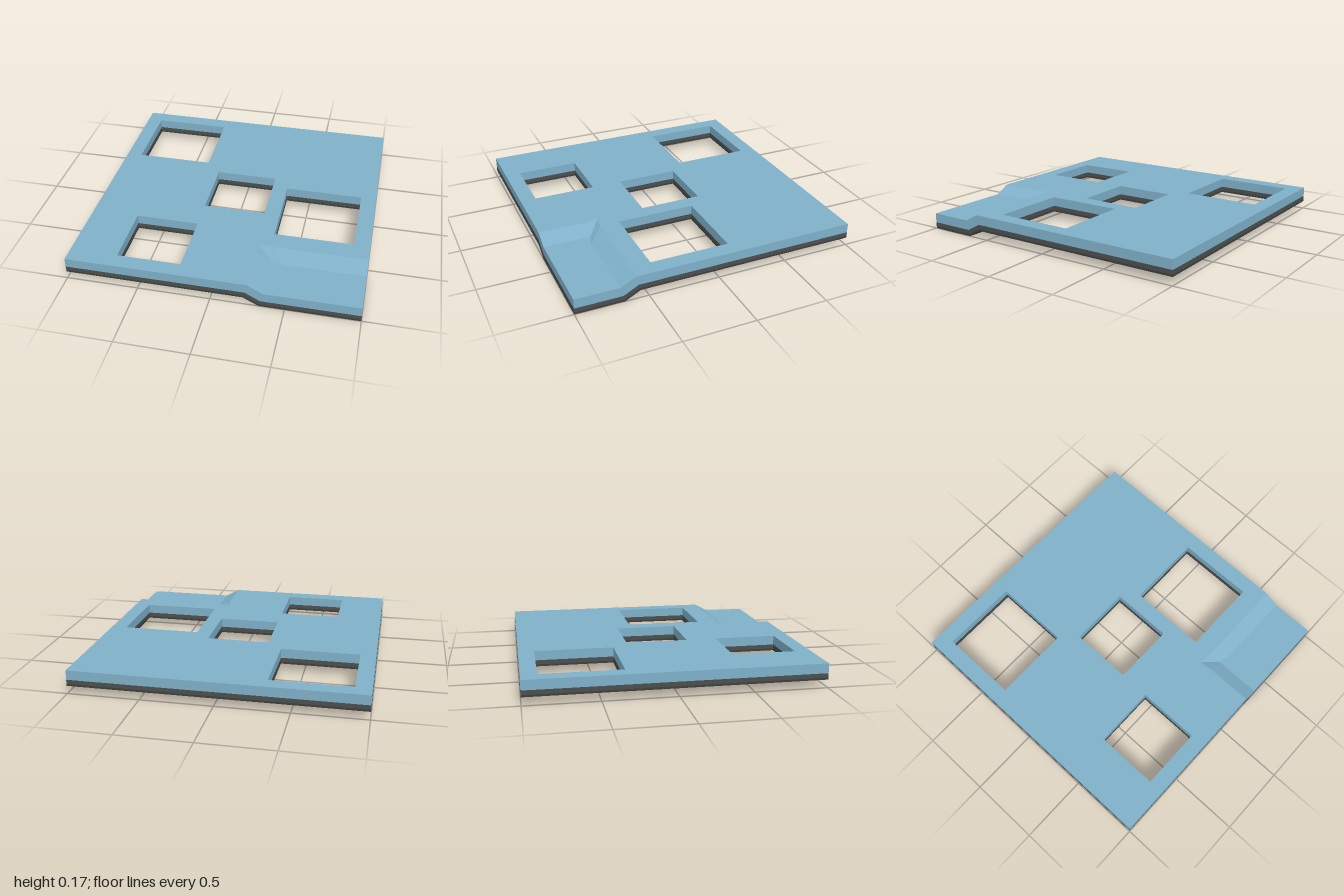
import * as THREE from 'three';

const TOP = 0.167, DROP = 0.056;

// Key points as [x, z, isLow]; ramp points slide with depth to keep the sheet thickness even.
const high = {
  front: [0.25, 1, 0], side: [0.25, 0.67, 0], corner: [0.235, 0.57, 0],
  back: [0.335, 0.585, 0], right: [1, 0.585, 0],
};
const low = {
  front: [0.355, 1, 1], corner: [0.355, 0.665, 1], back: [0.44, 0.69, 1],
  right: [1, 0.69, 1], outer: [1, 1, 1],
};
const FL = [-1, 1, 0], BL = [-1, -1, 0], BR = [1, -1, 0];

// Flat deck, ramps and the sunken corner
const deck = [FL, high.front, high.side, high.corner, high.back, high.right, BR, BL];
const patches = [
  [high.front, low.front, low.corner, high.side],
  [high.side, low.corner, high.back, high.corner],
  [high.back, low.corner, low.back],
  [high.back, low.back, low.right, high.right],
  [low.front, low.outer, low.right, low.back, low.corner],
];
const rim = [FL, high.front, low.front, low.outer, low.right, high.right, BR, BL];

// Square openings: x0, x1, z0, z1
const holes = [
  [-0.89, -0.335, -0.89, -0.335],
  [-0.223, 0.222, -0.223, 0.222],
  [0.333, 0.889, -0.115, 0.444],
  [-0.667, -0.223, 0.442, 0.889],
].map(([x0, x1, z0, z1]) => [[x1, z1, 0], [x0, z1, 0], [x0, z0, 0], [x1, z0, 0]]);

const rampPoints = new Set([...Object.values(high), ...Object.values(low)]);

// Position of a key point on the surface at depth y
function place(p, y) {
  const shift = rampPoints.has(p) ? -0.246 * (TOP - y) : 0;
  const slide = (v) => (v === 1 ? 1 : v + shift);
  return new THREE.Vector3(slide(p[0]), y - p[2] * DROP, slide(p[1]));
}

function toMesh(name, points, material) {
  const geometry = new THREE.BufferGeometry().setFromPoints(points);
  geometry.computeVertexNormals();
  const mesh = new THREE.Mesh(geometry, material);
  mesh.name = name;
  return mesh;
}

// Whole sheet surface at depth y, facing up (1) or down (-1)
function surface(name, y, facing, material) {
  const out = [];
  const fill = (contour, openings) => {
    const flat = (loop) => loop.map((p) => place(p, y)).map((v) => new THREE.Vector2(v.x, v.z));
    const all = [...contour, ...openings.flat()].map((p) => place(p, y));
    for (const [a, b, c] of THREE.ShapeUtils.triangulateShape(flat(contour), openings.map(flat))) {
      const u = all[b].clone().sub(all[a]), v = all[c].clone().sub(all[a]);
      const up = u.cross(v).y * facing > 0;
      out.push(all[a], ...(up ? [all[b], all[c]] : [all[c], all[b]]));
    }
  };
  fill(deck, holes);
  patches.forEach((patch) => fill(patch, []));
  return toMesh(name, out, material);
}

// Outer edge and opening walls between two depths
function walls(name, yTop, yBottom, material) {
  const out = [];
  for (const loop of [rim, ...holes]) {
    loop.forEach((p, i) => {
      const q = loop[(i + 1) % loop.length];
      const a = place(p, yBottom), b = place(q, yBottom);
      const c = place(q, yTop), d = place(p, yTop);
      out.push(a, b, c, a, c, d);
    });
  }
  return toMesh(name, out, material);
}

function paint(name, color) {
  const material = new THREE.MeshStandardMaterial({ color });
  material.name = name;
  return material;
}

export function createModel() {
  const blue = paint('blue', 0x7fb0c9);
  const grey = paint('dark grey', 0x4a4f4e);
  const dark = paint('charcoal', 0x3f3e3b);

  const group = new THREE.Group();
  group.name = 'layeredPanel';
  group.add(
    surface('topSurface', TOP, 1, blue),
    walls('upperLayerEdges', TOP, 0.1, blue),
    walls('lowerLayerEdges', 0.1, 0.07, grey),
    walls('baseEdges', 0.07, DROP, dark),
    surface('underside', DROP, -1, dark),
  );
  return group;
}
